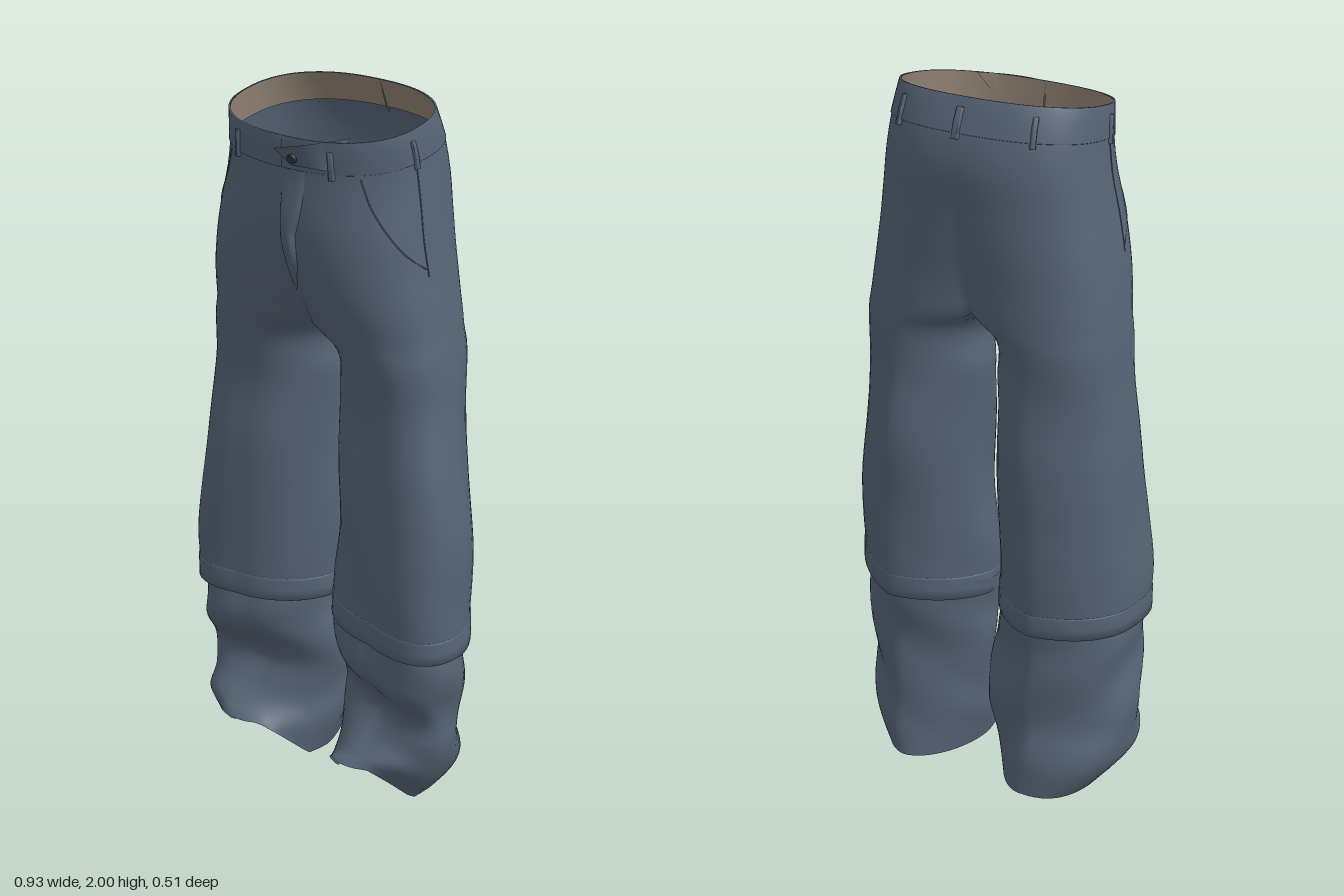
import * as THREE from 'three';
import { mergeGeometries, mergeVertices } from 'three/addons/utils/BufferGeometryUtils.js';

const MID = -0.02, CROTCH = 1.4, D = Math.PI / 180;

// Cross-sections: y, right outer x, right inner x, left outer x, left inner x, front z, back z, opening angle
const UPPER = [
  [0.51, -0.457, -0.04, 0.459, -0.02, 0.14, -0.235, 45],
  [0.65, -0.46, -0.04, 0.459, -0.015, 0.14, -0.24, 45],
  [0.8, -0.447, -0.04, 0.452, 0, 0.138, -0.245, 45],
  [1.0, -0.427, -0.043, 0.422, 0, 0.132, -0.25, 45],
  [1.2, -0.41, -0.04, 0.39, -0.004, 0.115, -0.232, 45],
  [1.35, -0.4, -0.03, 0.37, -0.012, 0.142, -0.237, 45],
  [1.4, -0.395, 0.05, 0.36, -0.092, 0.155, -0.24, 45],
  [1.5, -0.385, 0.05, 0.34, -0.092, 0.185, -0.24, 58],
  [1.6, -0.37, 0.05, 0.32, -0.092, 0.202, -0.245, 70],
  [1.7, -0.35, 0.05, 0.305, -0.092, 0.21, -0.25, 80],
  [1.8, -0.33, 0.05, 0.29, -0.092, 0.208, -0.257, 88],
  [1.88, -0.32, 0.05, 0.28, -0.092, 0.203, -0.24, 90],
  [1.97, -0.31, 0.05, 0.27, -0.092, 0.205, -0.2, 90],
];
const LOWER = [
  [0, -0.37, -0.06, 0.32, 0.03, 0.2, -0.25, 45],
  [0.1, -0.445, -0.03, 0.395, 0.01, 0.15, -0.24, 45],
  [0.2, -0.45, -0.015, 0.42, 0, 0.085, -0.22, 45],
  [0.28, -0.45, -0.01, 0.43, 0, 0.06, -0.215, 45],
  [0.4, -0.445, -0.035, 0.445, -0.015, 0.125, -0.215, 45],
  [0.56, -0.44, -0.05, 0.44, -0.025, 0.115, -0.22, 45],
];
const spline = (t) => new THREE.CubicInterpolant(t.map((r) => r[0]), t.flatMap((r) => r.slice(1)), 7, new Float32Array(7));
const upper = spline(UPPER), lower = spline(LOWER);
const spow = (v, p) => Math.sign(v) * Math.abs(v) ** p;
const { smoothstep, clamp, lerp } = THREE.MathUtils;
const phiAt = (y) => upper.evaluate(y)[6] * D;
const INSEAM = 1.1;

// Cloth surface point: side s (+1 left, -1 right), height, angle (90 deg front, 180 outer), outward offset
function cloth(s, y, a, off = 0, table = upper) {
  const r = table.evaluate(y);
  const xo = s < 0 ? r[0] : r[2], zf = r[4], zb = r[5];
  let xn = s < 0 ? r[1] : r[3];
  if (table === upper && y >= CROTCH) xn = xo - 2 * (xo - MID) / (1 + spow(Math.cos(r[6] * D), INSEAM));
  // Roundness of each corner: the left leg is cut away behind, the right leg is fuller there
  const legs = smoothstep(1.75 - y, 0, 0.7), below = smoothstep(CROTCH - y, 0, 0.3);
  const co = Math.cos(a), si = Math.sin(a);
  const backOuter = lerp(0.85, s > 0 ? 1.17 : 0.75, legs), backInner = lerp(INSEAM, s > 0 ? 1.15 : 1.5, below);
  const f = spow(co, co > 0 ? INSEAM : si < 0 ? backOuter : 0.85);
  const g = spow(si, si > 0 ? (co > 0 ? INSEAM : 0.85) : (co > 0 ? backInner : backOuter));
  const cx = (xo + xn) / 2, w = (xo - xn) / 2, cz = (zf + zb) / 2, h = (zf - zb) / 2;
  // Soft drape folds, strongest below the knee
  const amp = table === lower ? 0.04 * smoothstep(0.56 - y, 0, 0.15) * smoothstep(y, 0.02, 0.2)
    : 0.018 * smoothstep(1.35 - y, 0, 0.3) * smoothstep(y, 0.52, 0.65);
  const k = 1 + amp * Math.sin(3 * a + y * (table === lower ? 22 : 11) + s * 0.8);
  // Outer sides swing forward, except at the hem
  let skew = (s > 0 ? 0.085 : 0.055) * smoothstep(1.6 - y, 0, 0.8);
  if (table === lower) skew *= smoothstep(y, 0, 0.22);
  let x = cx - w * f * k - off * f * s;
  const z = cz + h * g * k + skew * Math.max(0, -f) + off * g;
  let py = y;
  if (table === upper) {
    py -= 0.15 * z * smoothstep(y, 1.5, 1.97);
    if (y <= CROTCH) x = s < 0 ? Math.min(x, MID) : Math.max(x, MID);
  } else {
    // Front of the hem is lifted and flared
    py += 0.13 * clamp((z - 0.05) / 0.13, 0, 1) * Math.max(0, 1 - y / 0.4) ** 2;
  }
  return new THREE.Vector3(x, py, z);
}

// Patch of cloth: rows of [height, offset] from top to bottom, angles from range(y), offset shaped across by profile
function patch(s, rows, range, n, table = upper, profile = () => 1) {
  const pos = [], idx = [];
  for (const [y, off] of rows) {
    const [a0, a1] = range(y);
    for (let j = 0; j <= n; j++) {
      const t = j / n;
      pos.push(...cloth(s, y, a0 + (a1 - a0) * t, off * profile(t), table).toArray());
    }
  }
  for (let i = 0; i < rows.length - 1; i++) for (let j = 0; j < n; j++) {
    const a = i * (n + 1) + j, b = a + 1, c = a + n + 1, d = c + 1;
    if (s > 0) idx.push(a, c, b, b, c, d); else idx.push(a, b, c, b, d, c);
  }
  const g = new THREE.BufferGeometry();
  g.setAttribute('position', new THREE.Float32BufferAttribute(pos, 3));
  g.setIndex(idx);
  return g;
}
function sew(parts) {
  const g = mergeVertices(mergeGeometries(parts), 1e-4);
  g.computeVertexNormals();
  return g;
}
const steps = (y0, y1, n) => Array.from({ length: n + 1 }, (_, i) => [y0 + (y1 - y0) * i / n, 0]);
const outer = (y) => [phiAt(y), 2 * Math.PI - phiAt(y)];
const inner = (y) => [2 * Math.PI - phiAt(y), 2 * Math.PI + phiAt(y)];
const full = () => [0, 2 * Math.PI];
const raised = (t) => Math.min(1, 6 * t, 6 * (1 - t));

export function createModel() {
  const denim = new THREE.MeshStandardMaterial({ color: 0x566375, side: THREE.DoubleSide });
  denim.name = 'denim';
  const tan = new THREE.MeshStandardMaterial({ color: 0x8f8172, side: THREE.DoubleSide });
  tan.name = 'tan lining';
  const metal = new THREE.MeshStandardMaterial({ color: 0x2f353e });
  metal.name = 'dark metal';

  const model = new THREE.Group();
  model.name = 'trousers';
  const add = (name, geo, mat) => {
    const m = new THREE.Mesh(geo, mat);
    m.name = name;
    model.add(m);
    return m;
  };
  const sides = [-1, 1];

  // Seat and thighs as one sewn surface
  add('upperTrousers', sew(sides.flatMap((s) => [
    patch(s, steps(1.97, CROTCH, 20), outer, 40),
    patch(s, steps(CROTCH, 0.51, 40), outer, 40),
    patch(s, steps(CROTCH, 0.51, 40), inner, 12),
  ])), denim);

  // Waistband and its lining
  const band = [[1.97, -0.002], [1.97, 0.003], [1.93, 0.003], [1.882, 0.003], [1.88, 0]];
  add('waistband', sew(sides.map((s) => patch(s, band, outer, 40))), denim);
  const lining = [[1.969, -0.002], [1.94, -0.003], [1.91, -0.005], [1.885, -0.006]];
  add('waistLining', sew(sides.map((s) => patch(s, lining, outer, 40))), tan);

  // Belt loops lie along the waistband
  const loopRows = [[1.945, 0], [1.943, 0.009], [1.91, 0.01], [1.868, 0.009], [1.866, 0]];
  const addLoop = (name, s, angle) => add(name,
    sew([patch(s, loopRows, () => [(angle - 2) * D, (angle + 2) * D], 6, upper, raised)]), denim);
  addLoop('backLoop', 1, 270);

  for (const s of sides) {
    const side = s > 0 ? 'left' : 'right';
    // Knee hem and the narrower lower leg tucked under it
    const hem = [[0.578, 0], [0.574, 0.003], [0.54, 0.004], [0.512, 0.005], [0.512, -0.014]];
    add(side + 'KneeHem', sew([patch(s, hem, full, 52)]), denim);
    add(side + 'LowerLeg', sew([patch(s, steps(0.56, 0, 36), full, 52, lower)]), denim);

    // Seams that follow the cloth
    const seam = (name, pts) => add(side + name, new THREE.TubeGeometry(
      new THREE.CatmullRomCurve3(pts.map(([a, y]) => cloth(s, y, a * D))), 32, 0.002, 5), denim);
    seam('PocketSeam', [[133, 1.87], [138, 1.79], [147, 1.71], [157, 1.65], [171, 1.6]]);
    seam('SideSeam', [[172, 1.87], [172, 1.78], [172, 1.68], [172, 1.58]]);

    for (const a of [s > 0 ? 116 : 121, 172, 232]) addLoop(side + 'BeltLoop', s, a);
  }

  // Fly placket, a raised fold narrowing to a rounded end
  const flyWidth = (y) => 11 * D * Math.sqrt(clamp((y - 1.5) / 0.1, 0, 1));
  const flyRows = steps(1.88, 1.5, 24).map(([y]) => [y, 0.003 + 0.014 * Math.sin(Math.PI * (1.88 - y) / 0.38) ** 2]);
  add('fly', sew([patch(1, flyRows, (y) => [phiAt(y), phiAt(y) + flyWidth(y)], 8, upper, raised)]), denim);

  // Loose waistband tab leaning out from the front, with its lining
  const tab = (inset) => {
    const pos = [], idx = [], n = 8;
    for (let i = 0; i <= n; i++) {
      const t = i / n;
      pos.push(0.16 * (1 - t), 1.95 - 0.03 * t, 0.15 + 0.107 * t + 0.018 * Math.sin(Math.PI * t) - inset);
      pos.push(0.12 - 0.1 * t, 1.868, 0.196 + 0.018 * t - inset);
    }
    for (let i = 0; i < n; i++) idx.push(2 * i, 2 * i + 2, 2 * i + 1, 2 * i + 1, 2 * i + 2, 2 * i + 3);
    const g = new THREE.BufferGeometry();
    g.setAttribute('position', new THREE.Float32BufferAttribute(pos, 3));
    g.setIndex(idx);
    g.computeVertexNormals();
    return g;
  };
  add('waistTab', tab(0), denim);
  add('waistTabLining', tab(0.004), tan);
  const button = add('button', new THREE.CylinderGeometry(0.014, 0.014, 0.008, 16), metal);
  button.position.set(0.035, 1.892, 0.23);
  button.rotation.x = Math.PI / 2 + 0.4;

  return model;
}
